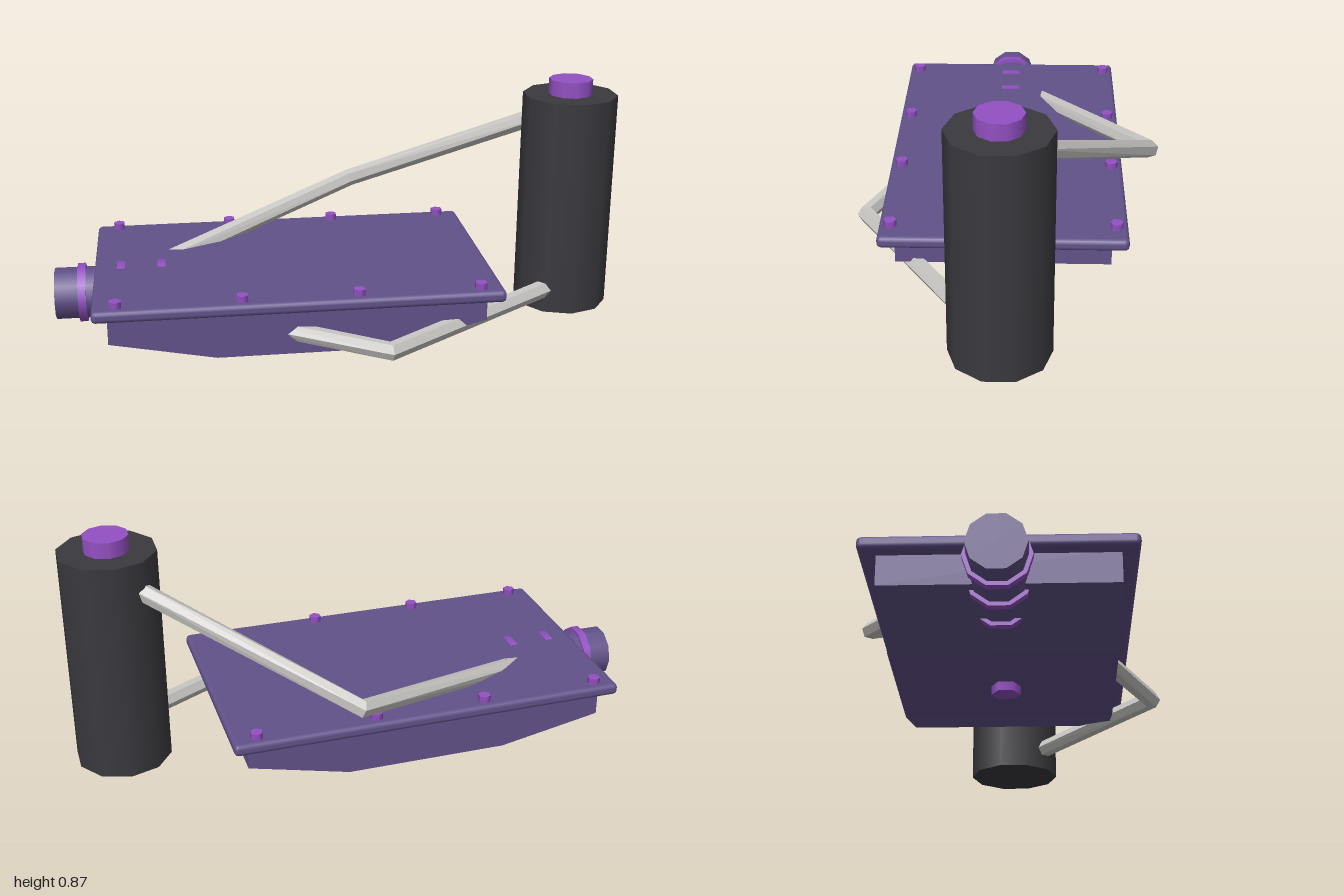
import * as THREE from 'three';
import { RoundedBoxGeometry } from 'three/addons/geometries/RoundedBoxGeometry.js';

export function createModel() {
  const model = new THREE.Group();
  const material = (name, color) => {
    const m = new THREE.MeshStandardMaterial({ color });
    m.name = name;
    return m;
  };
  const violet = material('slate violet', 0x62528a);
  const purple = material('bright purple', 0x9350c2);
  const charcoal = material('charcoal', 0x3a393e);
  const steel = material('pale steel', 0xc9c8c5);
  steel.flatShading = true;

  const add = (name, geometry, mat, x = 0, y = 0, z = 0) => {
    const mesh = new THREE.Mesh(geometry, mat);
    mesh.name = name;
    mesh.position.set(x, y, z);
    model.add(mesh);
    return mesh;
  };
  // Upright cylinder given by its bottom and top heights
  const post = (name, mat, r, y0, y1, sides, x, z = 0) =>
    add(name, new THREE.CylinderGeometry(r, r, y1 - y0, sides), mat, x, (y0 + y1) / 2, z);
  // Cylinder lying along x
  const lying = (name, mat, r, x0, x1, y) =>
    add(name, new THREE.CylinderGeometry(r, r, x1 - x0, 10).rotateZ(Math.PI / 2), mat, (x0 + x1) / 2, y);

  // Pan with sloping underside, and its rounded lid
  const profile = new THREE.Shape([
    [-0.81, 0.21], [-0.81, 0.1], [-0.45, 0.03], [0.12, 0.03], [0.475, 0.115], [0.475, 0.21],
  ].map(([x, y]) => new THREE.Vector2(x, y)));
  add('pan', new THREE.ExtrudeGeometry(profile, { depth: 0.726, bevelEnabled: false }), violet, 0, 0, -0.363);
  add('lid', new RoundedBoxGeometry(1.39, 0.042, 0.836, 2, 0.016), violet, -0.165, 0.219, 0);

  // Lid bolts along both long edges
  for (const x of [-0.78, -0.363, 0.03, 0.447])
    for (const z of [-0.378, 0.378]) post('lidBolt', purple, 0.022, 0.235, 0.263, 6, x, z);
  post('drainPlug', purple, 0.049, 0, 0.035, 6, -0.168);

  // Outlet pipe with ring clamps
  lying('outletPipe', violet, 0.091, -1, -0.59, 0.143);
  for (const x of [-0.905, -0.768, -0.625]) lying('pipeRing', purple, 0.104, x - 0.014, x + 0.014, 0.143);

  // Canister and cap
  post('canister', charcoal, 0.167, 0.03, 0.81, 10, 0.841);
  post('canisterCap', purple, 0.077, 0.8, 0.865, 10, 0.841);

  // Bent six-sided bars linking pan and canister
  const bar = (name, points, turn) => {
    const path = points.map((p) => new THREE.Vector3(...p));
    const sides = 6, r = 0.032, positions = [], index = [];
    path.forEach((p, i) => {
      const before = path[Math.max(i - 1, 0)], after = path[Math.min(i + 1, path.length - 1)];
      const t = after.clone().sub(before).normalize();
      const u = new THREE.Vector3(0, 1, 0).cross(t).normalize();
      const v = t.clone().cross(u);
      for (let k = 0; k < sides; k++) {
        const a = turn + (k / sides) * Math.PI * 2;
        const q = p.clone().addScaledVector(u, r * Math.cos(a)).addScaledVector(v, r * Math.sin(a));
        positions.push(q.x, q.y, q.z);
      }
    });
    for (let i = 0; i < path.length - 1; i++) {
      for (let k = 0; k < sides; k++) {
        const a = i * sides + k, b = i * sides + ((k + 1) % sides);
        index.push(a, b, b + sides, a, b + sides, a + sides);
      }
    }
    const last = (path.length - 1) * sides;
    for (let k = 1; k < sides - 1; k++) index.push(0, k + 1, k, last, last + k, last + k + 1);
    const indexed = new THREE.BufferGeometry();
    indexed.setAttribute('position', new THREE.Float32BufferAttribute(positions, 3));
    indexed.setIndex(index);
    const geometry = indexed.toNonIndexed();
    geometry.computeVertexNormals();
    add(name, geometry, steel);
  };
  bar('upperBar', [[-0.68, 0.19, -0.075], [0.12, 0.365, -0.503], [0.84, 0.745, -0.06]], 0.26);
  bar('lowerBar', [[-0.4, 0.113, 0.23], [0.12, 0.085, 0.503], [0.84, 0.118, 0.06]], 0);

  return model;
}
